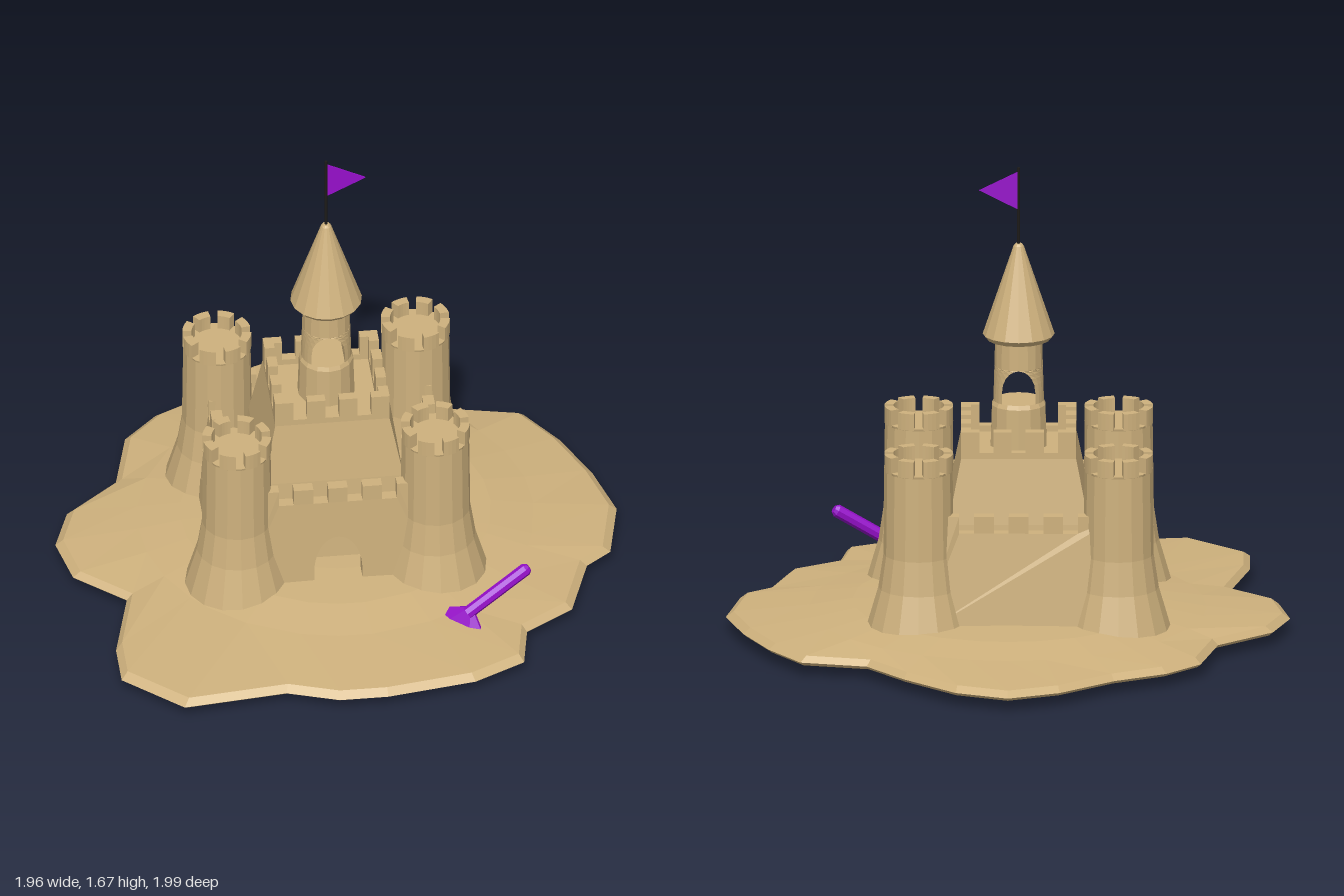
import * as THREE from 'three';

const V = (x, y, z) => new THREE.Vector3(x, y, z);
const CX = -0.037, CZ = 0.03;         // castle centre
const TX = 0.347, TZ = 0.3;           // corner tower offsets

// Skin closed rings of points (angle rising from +x to +z), bottom to top
function loft(rings, capBottom = true, capTop = true) {
  const p = [], n = rings[0].length;
  const tri = (...vs) => vs.forEach(v => p.push(v.x, v.y, v.z));
  const mid = r => r.reduce((s, v) => s.add(v), V(0, 0, 0)).divideScalar(n);
  const first = rings[0], last = rings[rings.length - 1];
  const m0 = mid(first), m1 = mid(last);
  for (let i = 0; i < n; i++) {
    const j = (i + 1) % n;
    for (let k = 0; k < rings.length - 1; k++) {
      const lo = rings[k], hi = rings[k + 1];
      tri(lo[i], hi[i], hi[j]);
      tri(lo[i], hi[j], lo[j]);
    }
    if (capBottom) tri(m0, first[i], first[j]);
    if (capTop) tri(m1, last[j], last[i]);
  }
  const g = new THREE.BufferGeometry();
  g.setAttribute('position', new THREE.Float32BufferAttribute(p, 3));
  return g;
}

const lathe = (pts, sides) => new THREE.LatheGeometry(pts.map(([r, y]) => new THREE.Vector2(r, y)), sides);

// Upright wall along x with notched top, optional arched gate and a base flared outwards (+z)
function notchedWall({ len, y0, notchY, topY, depth, notches, pitch, notchW, gate, flare = 0 }) {
  const s = new THREE.Shape();
  s.moveTo(-len / 2, y0);
  if (gate) {
    s.lineTo(-gate, y0);
    s.lineTo(-gate, 0.16);
    s.absellipse(0, 0.16, gate, 0.14, Math.PI, 0, true);
    s.lineTo(gate, y0);
  }
  s.lineTo(len / 2, y0);
  s.lineTo(len / 2, topY);
  for (let i = notches - 1; i >= 0; i--) {
    const x = (i - (notches - 1) / 2) * pitch, h = notchW / 2;
    s.lineTo(x + h, topY);
    s.lineTo(x + h, notchY);
    s.lineTo(x - h, notchY);
    s.lineTo(x - h, topY);
  }
  s.lineTo(-len / 2, topY);
  const g = new THREE.ExtrudeGeometry(s, { depth, bevelEnabled: false, curveSegments: 10 });
  const p = g.attributes.position;
  for (let i = 0; i < p.count; i++) {
    const push = flare * Math.max(0, notchY - p.getY(i)) / (notchY - y0);
    p.setZ(i, p.getZ(i) + (p.getZ(i) > depth / 2 ? push : -push / 2));
  }
  return g;
}

export function createModel() {
  const root = new THREE.Group();
  const mat = (name, color) => {
    const m = new THREE.MeshStandardMaterial({ color, side: THREE.DoubleSide });
    m.name = name;
    return m;
  };
  const sand = mat('sand', 0xceb17d);
  const purple = mat('purple plastic', 0x960fca);
  const dark = mat('dark pole', 0x1c1a18);

  // Faceted mesh
  const add = (name, geo, material, parent = root) => {
    const g = geo.index ? geo.toNonIndexed() : geo;
    g.computeVertexNormals();
    const m = new THREE.Mesh(g, material);
    m.name = name;
    parent.add(m);
    return m;
  };

  // Sand mound: ragged rim rising to a low round dome, hollow below
  const rim = [
    [0, -1], [.18, -.93], [.36, -.76], [.49, -.6], [.72, -.55], [.83, -.39], [.92, -.19], [.98, .02],
    [.93, .26], [.84, .33], [.76, .57], [.59, .68], [.56, .85], [.38, .94], [.07, .99], [-.1, .99],
    [-.28, .93], [-.64, .97], [-.84, .79], [-.84, .62], [-.77, .34], [-.94, .19], [-.98, 0], [-.92, -.17],
    [-.73, -.33], [-.67, -.57], [-.55, -.69], [-.37, -.78], [-.18, -.93]];
  const scaled = (f, y) => rim.map(([x, z]) => V(x * f, y, z * f));
  const round = (r, y) => rim.map(([x, z]) => {
    const f = r / Math.hypot(x, z);
    return V(x * f, y, z * f);
  });
  add('sandMound', loft([scaled(0.985, 0.033), scaled(1, 0.045), scaled(0.972, 0.066),
    round(0.69, 0.092), round(0.54, 0.117), round(0.35, 0.126)], false), sand);

  const castle = new THREE.Group();
  castle.name = 'castle';
  castle.position.set(CX, 0, CZ);
  root.add(castle);

  // Corner towers with flared feet and a ring of merlons
  const a = 0.25;
  const sector = new THREE.Shape();
  sector.absarc(0, 0, 0.12, -a, a, false);
  sector.absarc(0, 0, 0.088, a, -a, true);
  for (const sx of [-1, 1]) for (const sz of [-1, 1]) {
    const tower = new THREE.Group();
    tower.name = 'cornerTower';
    tower.position.set(sx * TX, 0, sz * TZ);
    castle.add(tower);
    add('towerBody', lathe([[0, 0.085], [0.185, 0.085], [0.172, 0.13], [0.14, 0.24], [0.122, 0.36],
      [0.118, 0.66], [0.12, 0.668], [0, 0.668]], 16), sand, tower);
    for (let i = 0; i < 8; i++) {
      const g = new THREE.ExtrudeGeometry(sector, { depth: 0.06, bevelEnabled: false, curveSegments: 2 });
      g.rotateX(-Math.PI / 2).rotateY((i + 0.5) * Math.PI / 4).translate(0, 0.662, 0);
      add('towerMerlon', g, sand, tower);
    }
  }

  // Curtain walls between the towers, gate in the front one
  for (let i = 0; i < 4; i++) {
    const side = i % 2;
    const wall = add(i === 0 ? 'gateWall' : 'curtainWall', notchedWall({
      len: side ? 2 * TZ : 2 * TX, y0: 0.09, notchY: 0.447, topY: 0.508, depth: 0.04, notches: 4,
      pitch: side ? 0.105 : 0.12, notchW: 0.052, gate: i === 0 ? 0.084 : 0, flare: i === 0 ? 0.015 : 0.04,
    }), sand, castle);
    const turn = new THREE.Group();
    turn.name = 'wallSide';
    turn.rotation.y = i * Math.PI / 2;
    wall.position.z = side ? 0.35 : 0.318;
    turn.add(wall);
    castle.add(turn);
  }

  // Keep: sloping block with a notched parapet
  const rect = (hx, hz, y) => [V(hx, y, -hz), V(hx, y, hz), V(-hx, y, hz), V(-hx, y, -hz)];
  add('keep', loft([rect(0.285, 0.25, 0.09), rect(0.245, 0.222, 0.44), rect(0.2, 0.19, 0.668)]), sand, castle);
  for (let i = 0; i < 4; i++) {
    const side = i % 2;
    const g = notchedWall({
      len: side ? 0.38 : 0.4, y0: 0.66, notchY: 0.69, topY: 0.765, depth: 0.035,
      notches: 3, pitch: side ? 0.105 : 0.112, notchW: 0.048,
    });
    g.translate(0, 0, (side ? 0.2 : 0.19) - 0.035).rotateY(i * Math.PI / 2);
    add('keepParapet', g, sand, castle);
  }

  // Turret with an arched window cut right through from front to back
  add('turretBase', lathe([[0.1, 0.66], [0.095, 0.815], [0.088, 0.83], [0, 0.83]], 14), sand, castle);
  for (const turn of [0, Math.PI]) {
    const rings = [0, 0.04, 0.07, 0.093, 0.11, 0.12, 0.124].map(h => {
      const r = 0.088 - h * 0.03;
      const w = 0.058 * Math.sqrt(Math.max(0, 1 - (Math.max(0, h - 0.04) / 0.084) ** 2));
      const half = Math.acos(w / r);
      return Array.from({ length: 9 }, (_, k) => {
        const t = turn + half * (k / 4 - 1);
        return V(r * Math.cos(t), 0.83 + h, r * Math.sin(t));
      });
    });
    add('windowJamb', loft(rings), sand, castle);
  }
  add('turretTop', lathe([[0, 0.954], [0.084, 0.954], [0.082, 1.06]], 16), sand, castle);
  add('turretRoof', lathe([[0, 1.05], [0.11, 1.05], [0.125, 1.068], [0.018, 1.385], [0.012, 1.393], [0, 1.393]], 16), sand, castle);

  // Pole and pennant
  add('flagPole', new THREE.CylinderGeometry(0.005, 0.005, 0.29, 8).translate(0, 1.522, 0), dark, castle);
  const pennant = new THREE.Shape([[0, 1.515], [0.137, 1.585], [0, 1.653]].map(q => new THREE.Vector2(...q)));
  add('pennant', new THREE.ExtrudeGeometry(pennant, { depth: 0.006, bevelEnabled: false }).translate(0, 0, -0.003), purple, castle);

  // Toy spade stuck in the sand
  const spade = new THREE.Group();
  spade.name = 'spade';
  root.add(spade);
  const top = V(0.605, 0.268, 0.6), neck = V(0.385, 0.125, 0.652), tip = V(0.305, 0.008, 0.685);
  const shaft = neck.clone().sub(top);
  const handle = add('spadeHandle', lathe([[0, 0], [0.014, 0], [0.023, 0.012], [0.023, shaft.length()], [0, shaft.length()]], 8), purple, spade);
  handle.position.copy(top);
  handle.quaternion.setFromUnitVectors(V(0, 1, 0), shaft.clone().normalize());

  const along = tip.clone().sub(neck), reach = along.length();
  along.normalize();
  const across = V(0.13, -0.02, 0.1);
  across.addScaledVector(along, -across.dot(along)).normalize();
  const blade = new THREE.Shape([[0, -0.03], [0.072, 0.025], [0.065, 0.1], [0.03, reach], [0, reach], [-0.03, reach],
    [-0.065, 0.1], [-0.072, 0.025]].map(q => new THREE.Vector2(...q)));
  const bladeGeo = new THREE.ExtrudeGeometry(blade, { depth: 0.014, bevelEnabled: false });
  const bp = bladeGeo.attributes.position;
  for (let i = 0; i < bp.count; i++) bp.setZ(i, bp.getZ(i) - 0.007 + 4 * bp.getX(i) ** 2);
  const basis = new THREE.Matrix4().makeBasis(across, along, across.clone().cross(along)).setPosition(neck);
  add('spadeBlade', bladeGeo.applyMatrix4(basis), purple, spade);

  return root;
}
